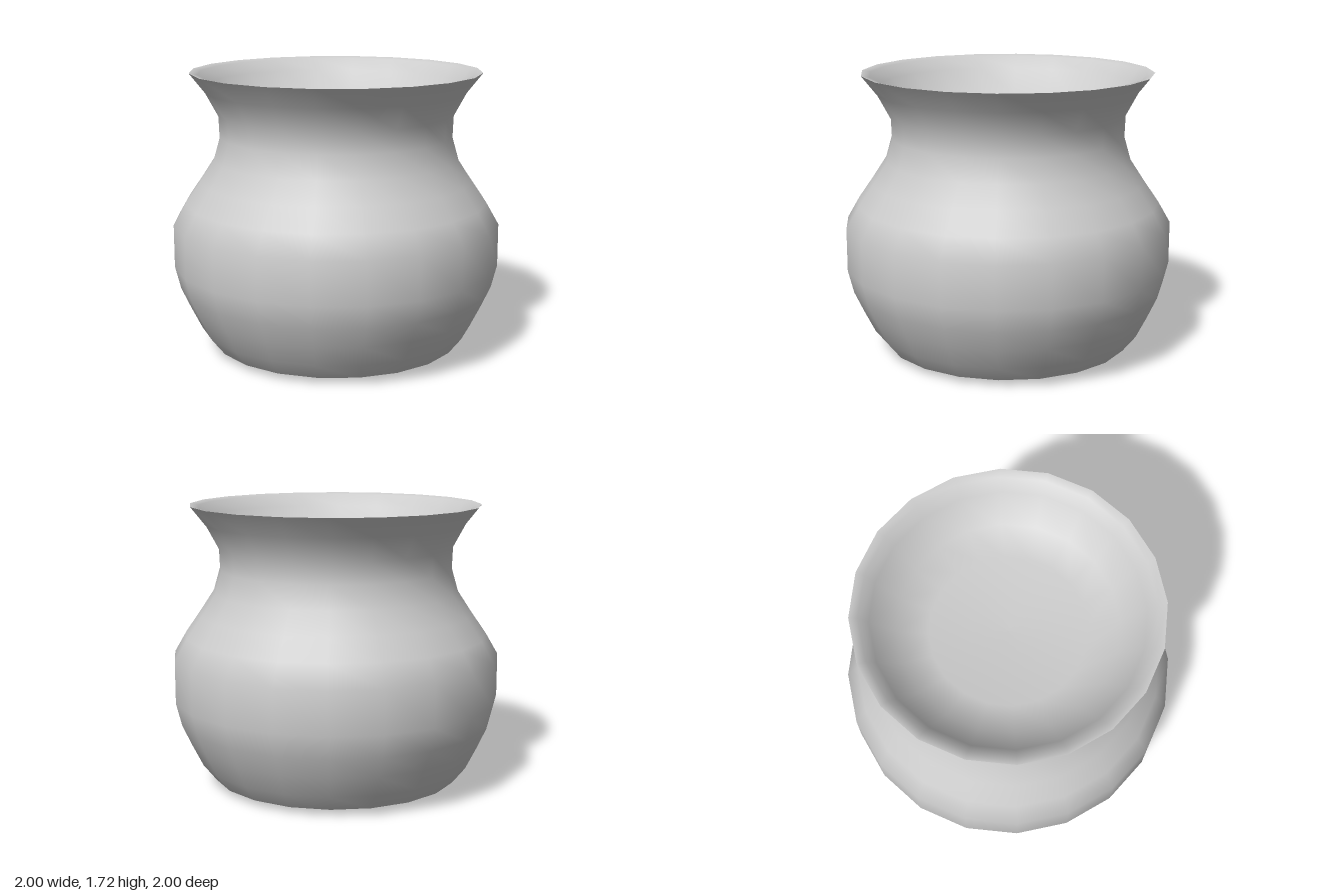
import * as THREE from 'three';

const SIDES = 20;

export function createModel() {
  const pot = new THREE.Group();
  pot.name = 'pot';
  const material = new THREE.MeshStandardMaterial({ color: 0xcccccc });

  // Turns a profile of [radius, height] points; separate parts keep sharp edges between them
  function turned(name, profile) {
    const points = profile.map(([r, y]) => new THREE.Vector2(r, y));
    const mesh = new THREE.Mesh(new THREE.LatheGeometry(points, SIDES), material);
    mesh.name = name;
    pot.add(mesh);
  }

  // Slightly dished underside
  turned('base', [[0, 0], [0.58, 0], [0.76, 0.04]]);

  // Round belly, narrow neck and flared lip
  turned('body', [
    [0.76, 0.04], [0.84, 0.14], [0.905, 0.27], [0.965, 0.4], [1, 0.54], [1, 0.8],
    [0.925, 0.93], [0.835, 1.06], [0.75, 1.19], [0.71, 1.33], [0.715, 1.46],
    [0.79, 1.6], [0.885, 1.72],
  ]);

  // Narrow rim running into a shallow bowl in the mouth
  turned('bowl', [
    [0.885, 1.72], [0.835, 1.71], [0.78, 1.64], [0.64, 1.49], [0.46, 1.42], [0, 1.41],
  ]);

  return pot;
}
